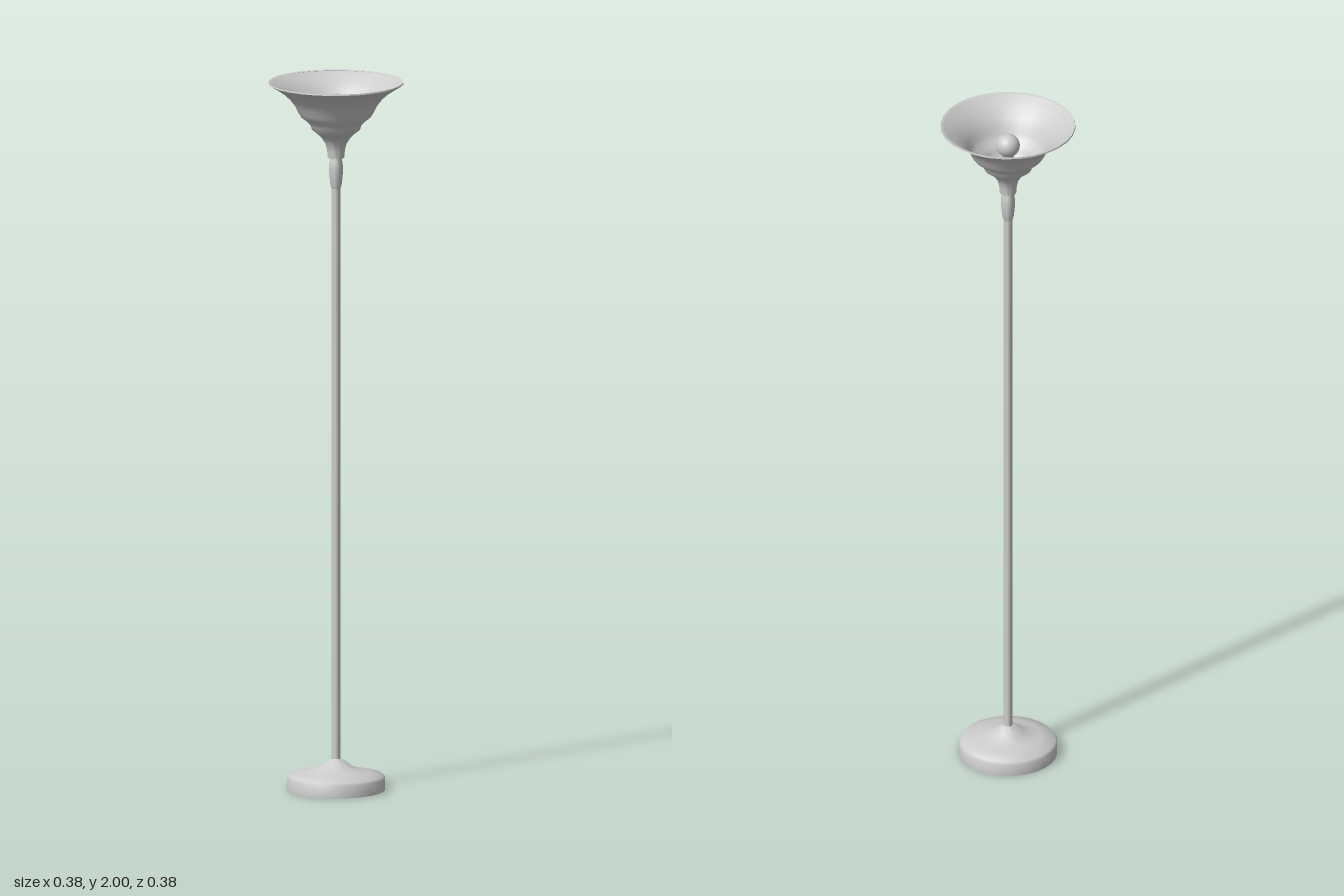
import * as THREE from 'three';
import { toCreasedNormals } from 'three/addons/utils/BufferGeometryUtils.js';

const SEGMENTS = 28;

export function createModel() {
  const lamp = new THREE.Group();
  lamp.name = 'floorLamp';
  const material = new THREE.MeshStandardMaterial({ color: 0xcccccc, side: THREE.DoubleSide });

  // Turned part from [radius, height] pairs, listed from bottom to top
  function turned(name, profile, segments = SEGMENTS) {
    const points = profile.map(([r, y]) => new THREE.Vector2(r, y));
    const geometry = toCreasedNormals(new THREE.LatheGeometry(points, segments), 0.8);
    const mesh = new THREE.Mesh(geometry, material);
    mesh.name = name;
    lamp.add(mesh);
  }

  // Hollow weighted foot, open underneath
  turned('base', [
    [0.137, 0], [0.137, 0.034], [0.132, 0.041], [0.095, 0.05],
    [0.066, 0.057], [0.045, 0.066], [0.028, 0.08], [0.013, 0.088],
  ]);

  // Straight pole
  turned('pole', [[0.013, 0.08], [0.013, 1.71]], 16);

  // Swelling collar between pole and shade
  turned('collar', [
    [0.013, 1.7], [0.016, 1.71], [0.019, 1.738], [0.02, 1.76],
    [0.018, 1.775], [0.015, 1.787], [0.015, 1.8],
  ], 16);

  // Flared bowl shade with a stepped waist and a thin lip
  turned('shade', [
    [0.014, 1.785], [0.023, 1.786], [0.025, 1.808], [0.03, 1.827], [0.041, 1.844],
    [0.056, 1.858], [0.067, 1.866], [0.071, 1.878], [0.08, 1.889],
    [0.097, 1.902], [0.105, 1.915], [0.113, 1.932], [0.128, 1.952],
    [0.15, 1.972], [0.171, 1.986], [0.188, 1.996], [0.187, 2], [0.181, 1.998],
  ]);

  // Bulb holder and round bulb
  turned('bulbSocket', [[0.016, 1.79], [0.016, 1.9], [0.02, 1.912]], 16);
  const bulb = new THREE.Mesh(new THREE.SphereGeometry(0.033, 24, 16), material);
  bulb.name = 'bulb';
  bulb.position.y = 1.935;
  lamp.add(bulb);

  return lamp;
}
